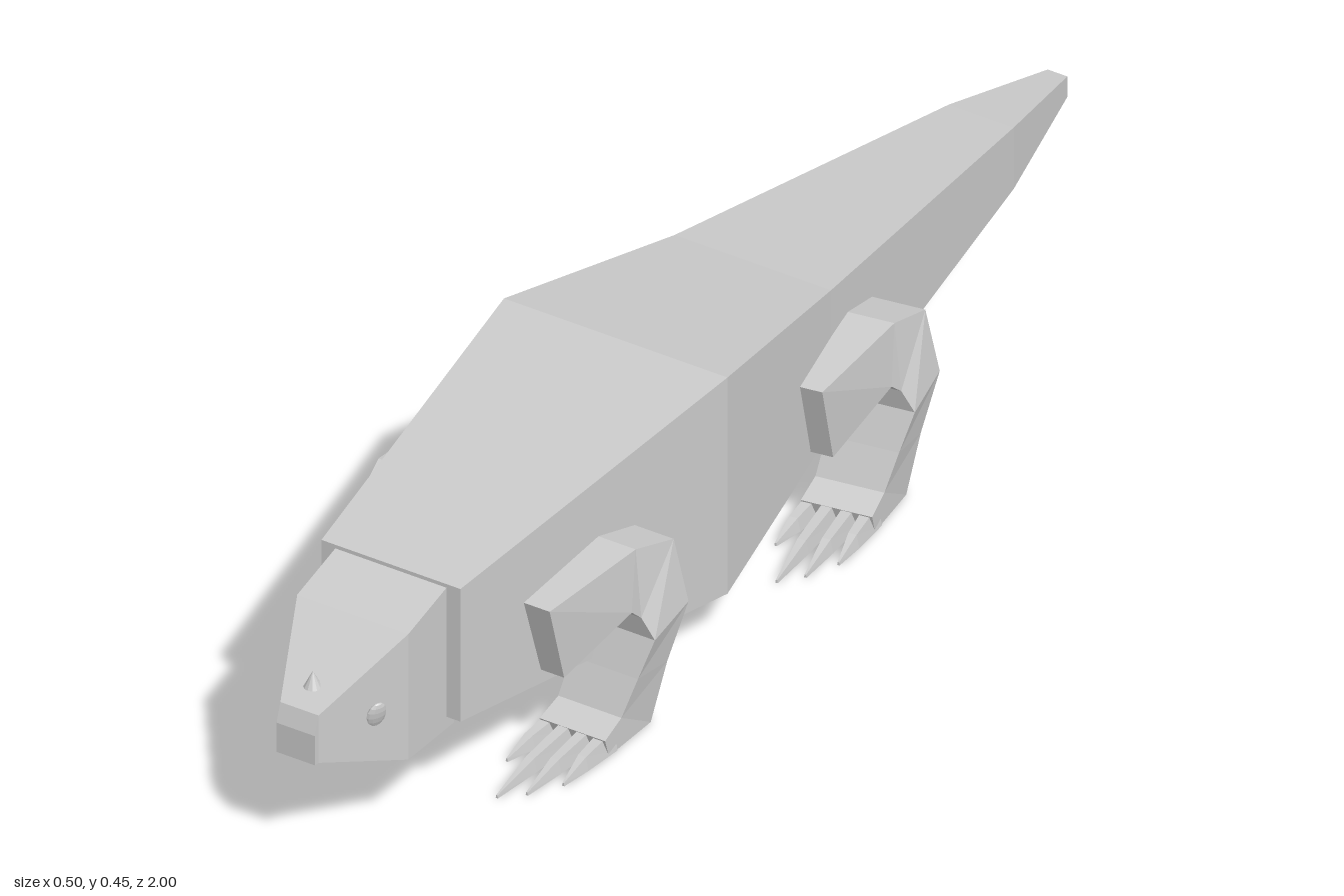
import * as THREE from 'three';

const material = new THREE.MeshStandardMaterial({ color: 0xcccccc, flatShading: true });

// Flat-shaded solid through a row of four-cornered cross-sections.
function loft(name, sections) {
  const tris = [];
  const quad = (a, b, c, d) => tris.push([a, b, c], [a, c, d]);
  for (let i = 0; i < sections.length - 1; i++) {
    const s = sections[i], t = sections[i + 1];
    for (let k = 0; k < 4; k++) {
      const n = (k + 1) % 4;
      quad(s[k], s[n], t[n], t[k]);
    }
  }
  const last = sections[sections.length - 1];
  quad(...[...sections[0]].reverse());
  quad(...last);
  // Signed volume decides the winding, so mirrored parts also face outward.
  let volume = 0;
  for (const [a, b, c] of tris) {
    volume += new THREE.Vector3(...a).dot(new THREE.Vector3(...b).cross(new THREE.Vector3(...c)));
  }
  const points = tris.flatMap(([a, b, c]) => (volume < 0 ? [a, c, b] : [a, b, c]));
  const geometry = new THREE.BufferGeometry();
  geometry.setAttribute('position', new THREE.Float32BufferAttribute(points.flat(), 3));
  geometry.computeVertexNormals();
  const mesh = new THREE.Mesh(geometry, material);
  mesh.name = name;
  return mesh;
}

// Upright rectangle across the body: half width, bottom, top, z.
const rect = ([w, y0, y1, z]) => [[-w, y0, z], [w, y0, z], [w, y1, z], [-w, y1, z]];

// Limb section: inner x, outer x, then [z, y] of its two sides.
const limbSection = ([x0, x1, a, b]) => [
  [x0, a[1], a[0]], [x1, a[1], a[0]], [x1, b[1], b[0]], [x0, b[1], b[0]],
];

const LIMB = [
  [0.137, 0.182, [0.61, 0.285], [0.572, 0.152]],
  [0.14, 0.222, [0.445, 0.318], [0.455, 0.215]],
  [0.145, 0.235, [0.365, 0.298], [0.45, 0.208]],
  [0.14, 0.252, [0.352, 0.19], [0.44, 0.17]],
  [0.122, 0.237, [0.385, 0.10], [0.462, 0.11]],
  [0.116, 0.225, [0.41, 0.005], [0.487, 0.053]],
  [0.112, 0.225, [0.52, 0.005], [0.53, 0.036]],
];

// Toes: base x, tip x, tip z
const TOES = [[0.124, 0.108, 0.61], [0.153, 0.15, 0.70], [0.184, 0.182, 0.67], [0.212, 0.212, 0.62]];

function createLeg(name, side, turn, offset) {
  const leg = new THREE.Group();
  leg.name = name;
  // Turned outward about the heel, moved into place and mirrored by side.
  const place = (section) => section.map(([x, y, z]) => {
    const dx = x - 0.18, dz = z - 0.42;
    return [
      side * (0.18 + dx * Math.cos(turn) + dz * Math.sin(turn) + offset[0]),
      y,
      0.42 - dx * Math.sin(turn) + dz * Math.cos(turn) + offset[1],
    ];
  });
  leg.add(loft('limb', LIMB.map((s) => place(limbSection(s)))));
  for (const [bx, tx, tz] of TOES) {
    const ring = (x, z, w, y0, y1) =>
      place([[x - w, y0, z], [x + w, y0, z], [x + w * 0.6, y1, z], [x - w * 0.6, y1, z]]);
    const middle = 0.51 + (tz - 0.51) * 0.55;
    leg.add(loft('toe', [
      ring(bx, 0.5, 0.015, 0.005, 0.038),
      ring((bx + tx) / 2, middle, 0.011, 0.006, 0.028),
      ring(tx, tz, 0.002, 0.003, 0.008),
    ]));
  }
  return leg;
}

export function createModel() {
  const model = new THREE.Group();
  model.name = 'lizard';

  // Body and tail in one tapering solid
  model.add(loft('bodyAndTail', [
    [0.12, 0.15, 0.377, 0.75],
    [0.193, 0.08, 0.45, 0.16],
    [0.135, 0.145, 0.387, -0.2],
    [0.056, 0.213, 0.318, -0.8],
    [0.017, 0.25, 0.285, -1],
  ].map(rect)));

  // Head with a tapering, bevelled snout
  model.add(loft('head', [
    [0.096, 0.13, 0.376, 0.73],
    [0.096, 0.13, 0.345, 0.85],
    [0.033, 0.177, 0.258, 0.99],
    [0.033, 0.178, 0.228, 1],
  ].map(rect)));

  // Nose horn
  const horn = new THREE.Mesh(new THREE.ConeGeometry(0.014, 0.027, 12), material);
  horn.name = 'noseHorn';
  horn.position.set(0, 0.291, 0.955);
  model.add(horn);

  for (const side of [1, -1]) {
    const label = side > 0 ? 'left' : 'right';

    // Eye lying on the slanted cheek
    const eye = new THREE.Mesh(new THREE.SphereGeometry(1, 12, 8), material);
    eye.name = label + 'Eye';
    eye.scale.set(0.007, 0.024, 0.017);
    eye.position.set(side * 0.073, 0.225, 0.9);
    eye.rotation.set(0, -side * 0.42, -side * 0.25);
    model.add(eye);

    model.add(createLeg(label + 'FrontLeg', side, 0, [0, 0]));
    model.add(createLeg(label + 'HindLeg', side, 0.16, [-0.025, -0.705]));
  }
  return model;
}
